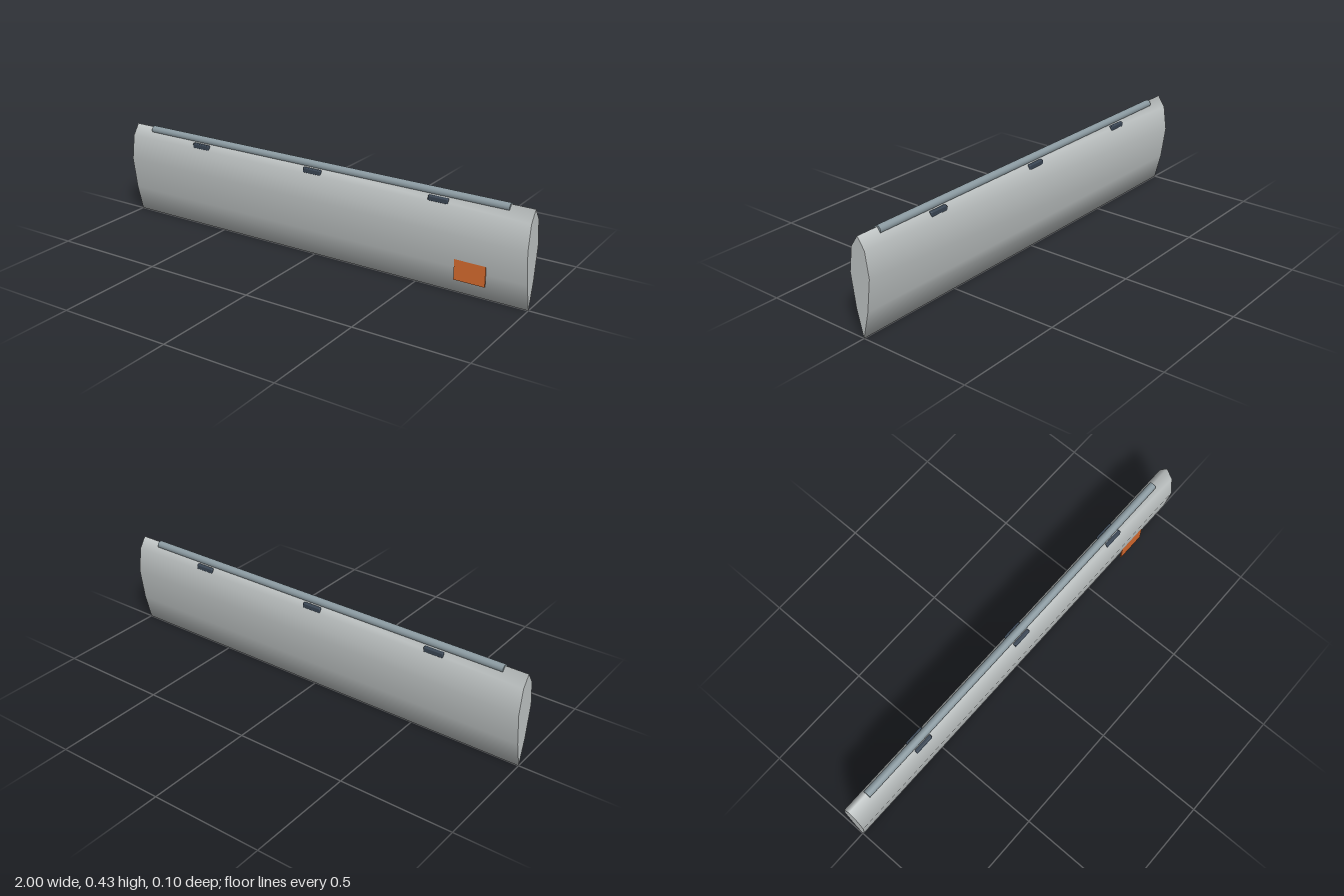
import * as THREE from 'three';
import { RoundedBoxGeometry } from 'three/addons/geometries/RoundedBoxGeometry.js';

const mat = (name, color) => {
  const m = new THREE.MeshStandardMaterial({ color });
  m.name = name;
  return m;
};

// Closed blade cross-section as [z, y], running down the front and up the back
const HALF = [[0.034, 0.375], [0.05, 0.265], [0.03, 0.12]];
const RING = [[0, 0.425], ...HALF, [0, 0], ...HALF.slice().reverse().map(([z, y]) => [-z, y])];

function buildGeometry(points, index) {
  const g = new THREE.BufferGeometry();
  g.setAttribute('position', new THREE.Float32BufferAttribute(points.flat(), 3));
  g.setIndex(index);
  g.computeVertexNormals();
  return g;
}

const ringAt = (x) => RING.map(([z, y]) => [x, y, z]);

// Smooth skin between the two end sections
function skinGeometry() {
  const n = RING.length, index = [];
  for (let i = 0; i < n; i++) {
    const j = (i + 1) % n;
    index.push(i, j, n + j, i, n + j, n + i);
  }
  return buildGeometry([...ringAt(-1), ...ringAt(1)], index);
}

// Flat end cap
function capGeometry(side) {
  const index = [];
  for (let i = 1; i < RING.length - 1; i++) {
    index.push(0, ...(side > 0 ? [i, i + 1] : [i + 1, i]));
  }
  return buildGeometry(ringAt(side), index);
}

export function createModel() {
  const model = new THREE.Group();
  const shell = mat('light grey shell', 0xc3c8c8);
  const steel = mat('blue grey steel', 0x8b9aa1);
  const dark = mat('dark slate', 0x3a4654);
  const orange = mat('orange', 0xd96c2f);

  const add = (name, geometry, material, x = 0, y = 0, z = 0) => {
    const mesh = new THREE.Mesh(geometry, material);
    mesh.name = name;
    mesh.position.set(x, y, z);
    model.add(mesh);
    return mesh;
  };

  // Blade body
  add('bladeSkin', skinGeometry(), shell);
  add('leftEndCap', capGeometry(1), shell);
  add('rightEndCap', capGeometry(-1), shell);

  // Hinge rod along the top edge
  const rod = new THREE.CylinderGeometry(0.0175, 0.0175, 1.8, 20).rotateZ(Math.PI / 2);
  add('hingeRod', rod, steel, 0, 0.412, 0);

  // Clips that hold the rod
  for (const x of [-0.6, 0, 0.6]) {
    add('rodClip', new RoundedBoxGeometry(0.09, 0.023, 0.064, 2, 0.005), dark, x, 0.3875, 0);
  }

  // Marker plate on the front face
  add('markerPlate', new THREE.BoxGeometry(0.138, 0.09, 0.005), orange, 0.756, 0.112, 0.0325);
  return model;
}
